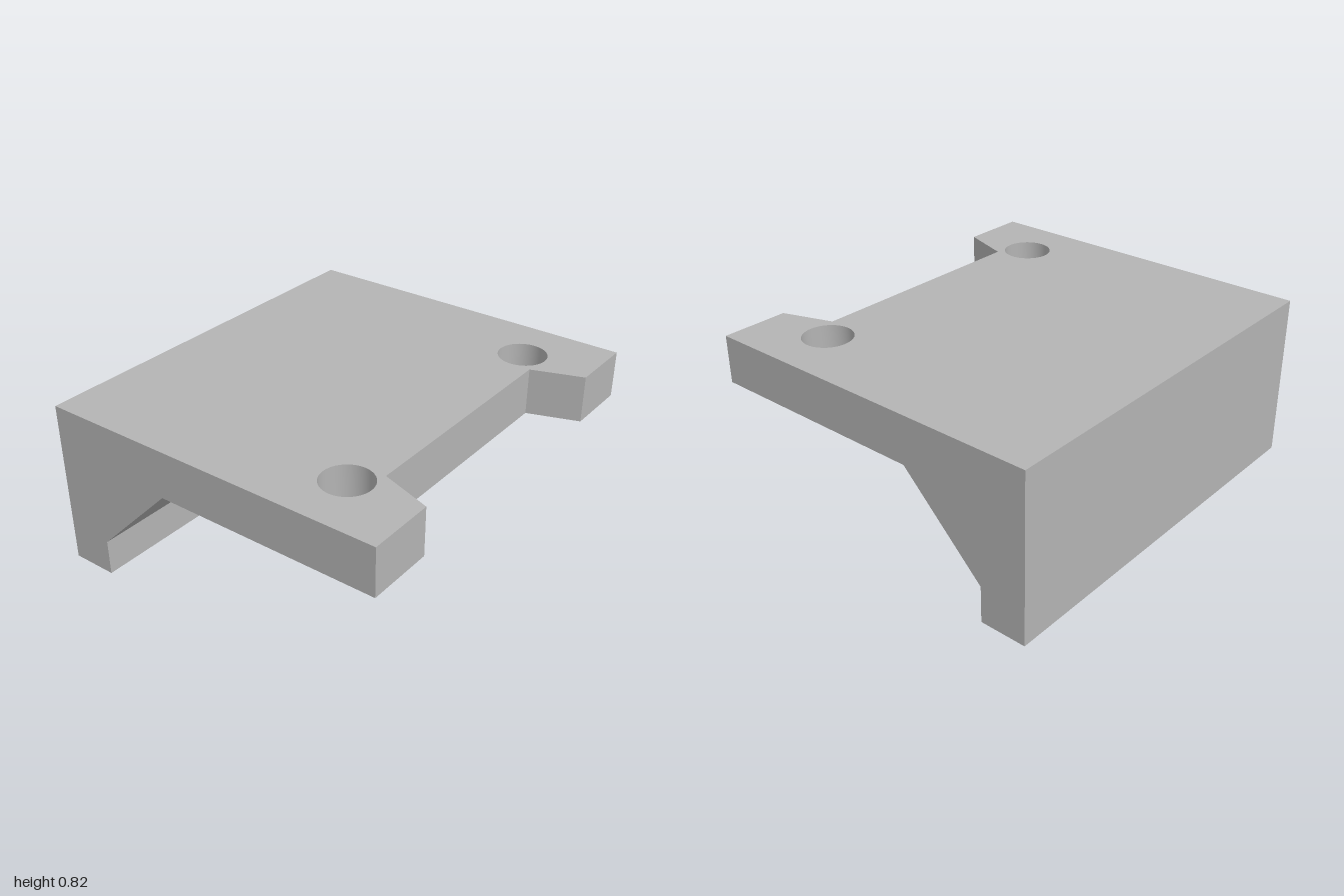
import * as THREE from 'three';
import { toCreasedNormals } from 'three/addons/utils/BufferGeometryUtils.js';

const TOP = 0.825, UNDER = 0.59, DEPTH = 0.88, JOIN = -0.24;

const polygon = (points) => new THREE.Shape(points.map(([x, y]) => new THREE.Vector2(x, y)));

function extrude(shape, depth) {
  return new THREE.ExtrudeGeometry(shape, { depth, bevelEnabled: false, curveSegments: 24 });
}

export function createModel() {
  const grey = new THREE.MeshStandardMaterial({ color: 0xb4b4b4 });
  grey.name = 'plain grey';
  const model = new THREE.Group();
  model.name = 'mountingBracket';

  // Horizontal plate with a tapered front notch, drawn in x and z
  const outline = polygon([
    [-1, JOIN], [1, JOIN], [1, DEPTH], [0.67, DEPTH], [0.585, 0.63],
    [-0.585, 0.63], [-0.67, DEPTH], [-1, DEPTH],
  ]);
  // Screw holes in both front corners
  for (const side of [-1, 1]) {
    outline.holes.push(new THREE.Path().absarc(side * 0.705, 0.525, 0.12, 0, Math.PI * 2, true));
  }
  const plateGeometry = extrude(outline, TOP - UNDER);
  plateGeometry.rotateX(Math.PI / 2).translate(0, TOP, 0);
  const plate = new THREE.Mesh(toCreasedNormals(plateGeometry, 0.5), grey);
  plate.name = 'topPlate';

  // Back wall with a sloping brace, drawn in -z and y and run along x
  const profile = polygon([
    [DEPTH, 0], [DEPTH, TOP], [-JOIN, TOP], [-JOIN, UNDER], [0.65, 0.18], [0.65, 0],
  ]);
  const wallGeometry = extrude(profile, 2);
  wallGeometry.rotateY(Math.PI / 2).translate(-1, 0, 0);
  const wall = new THREE.Mesh(wallGeometry, grey);
  wall.name = 'backWall';

  model.add(plate, wall);
  return model;
}
